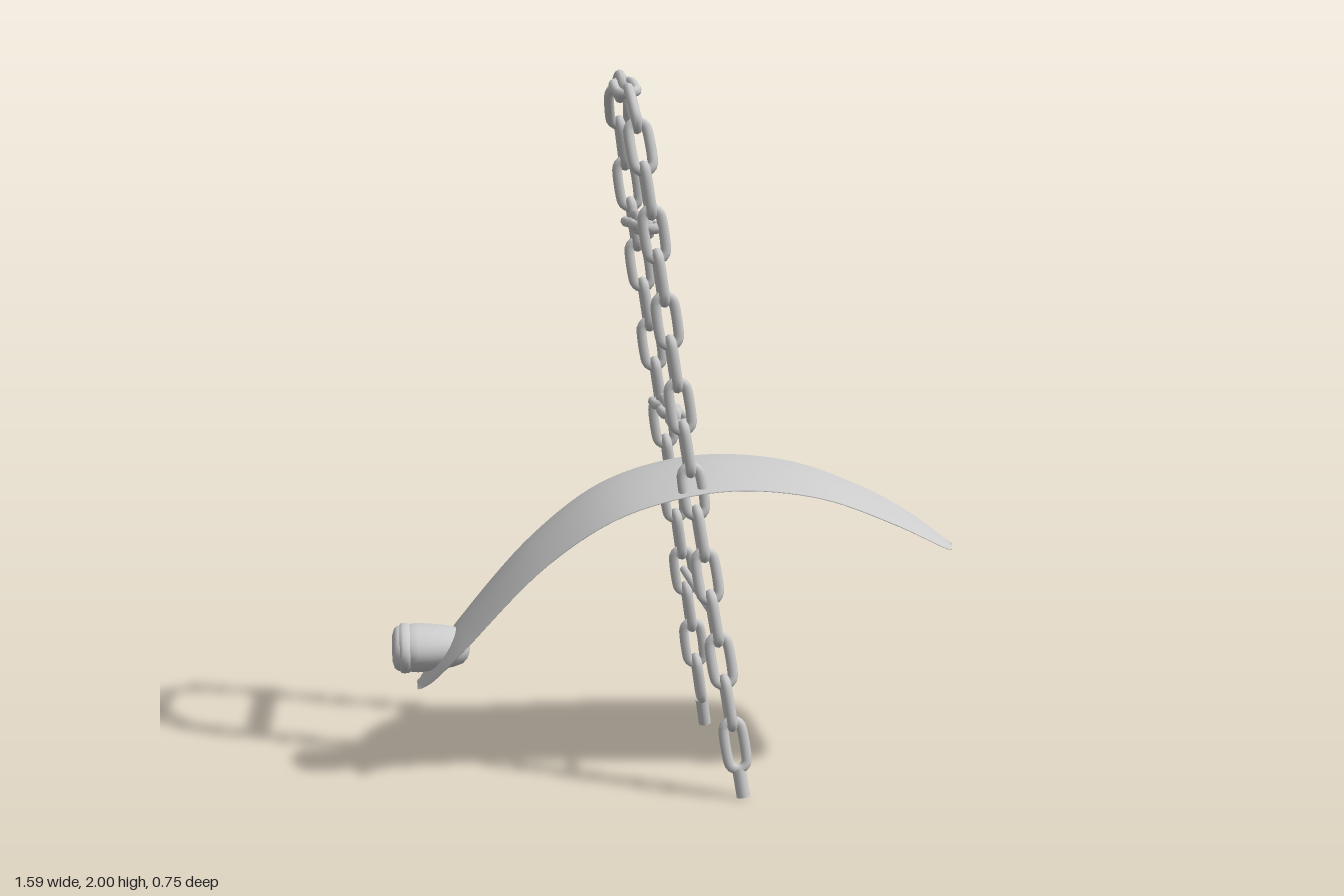
import * as THREE from 'three';

const V = (x, y, z) => new THREE.Vector3(x, y, z);
const metal = new THREE.MeshStandardMaterial({ color: 0xcccccc });
metal.name = 'light grey metal';

// The chain frame lies in a plane leaning back along x
const SLOPE = 0.15;
const lean = (z, y) => V(0.16 - SLOPE * y, y, z);
const planeNormal = V(1, SLOPE, 0).normalize();

function add(parent, name, geometry) {
  const mesh = new THREE.Mesh(geometry, metal);
  mesh.name = name;
  parent.add(mesh);
  return mesh;
}

function rod(parent, name, a, b, radius) {
  const mesh = add(parent, name, new THREE.CylinderGeometry(radius, radius, a.distanceTo(b), 16));
  mesh.position.copy(a).add(b).multiplyScalar(0.5);
  mesh.quaternion.setFromUnitVectors(V(0, 1, 0), b.clone().sub(a).normalize());
}

// One stadium-shaped link, long axis on local y, lying flat in local xy
function linkGeometry(length, width, wire) {
  const r = width / 2 - wire, s = length / 2 - wire - r, pts = [];
  for (let side = 0; side < 2; side++) {
    for (let i = 0; i <= 6; i++) {
      const a = Math.PI * (side + i / 6);
      pts.push(V(r * Math.cos(a), (side ? -s : s) + r * Math.sin(a), 0));
    }
  }
  return new THREE.TubeGeometry(new THREE.CatmullRomCurve3(pts, true), 36, wire, 8, true);
}

// Links alternate between lying in the frame plane and standing across it
function placeLink(parent, geometry, position, tangent, inPlane) {
  const mesh = add(parent, 'chainLink', geometry);
  const across = V(0, 0, 0).crossVectors(tangent, planeNormal).normalize();
  const basis = new THREE.Matrix4();
  if (inPlane) basis.makeBasis(across, tangent, planeNormal.clone().negate());
  else basis.makeBasis(planeNormal, tangent, across);
  if (basis.determinant() < 0) {
    basis.makeBasis(inPlane ? across : planeNormal, tangent,
      inPlane ? planeNormal : across.clone().negate());
  }
  mesh.quaternion.setFromRotationMatrix(basis);
  mesh.position.copy(position);
}

function buildChainFrame() {
  const group = new THREE.Group();
  group.name = 'chainFrame';

  // Hooped chain from one foot over the top to the other
  const path = new THREE.CatmullRomCurve3([
    [0.335, 0.155], [0.29, 0.51], [0.262, 0.74], [0.24, 0.965], [0.234, 1.21], [0.232, 1.46],
    [0.23, 1.69], [0.215, 1.81], [0.16, 1.9], [0.075, 1.95], [-0.035, 1.962], [-0.135, 1.93],
    [-0.2, 1.835], [-0.222, 1.7], [-0.222, 1.45], [-0.225, 1.21], [-0.235, 0.98],
    [-0.262, 0.75], [-0.292, 0.515], [-0.332, 0.16]
  ].map(([z, y]) => lean(z, y)));
  path.arcLengthDivisions = 600;
  const link = linkGeometry(0.165, 0.08, 0.0145);
  const count = 34;
  for (let i = 0; i < count; i++) {
    const u = i / (count - 1);
    placeLink(group, link, path.getPointAt(u), path.getTangentAt(u), i % 2 === 1);
  }

  // Two chain rungs
  const rungLink = linkGeometry(0.15, 0.07, 0.0145);
  for (const y of [1.575, 1.04]) {
    for (let i = 0; i < 5; i++) {
      placeLink(group, rungLink, lean(0.165 - 0.095 * i, y), V(0, 0, 1), i % 2 === 1);
    }
  }

  // Feet and lower crossbar
  for (const s of [1, -1]) rod(group, 'foot', lean(s * 0.35, 0.01), lean(s * 0.34, 0.09), 0.019);
  rod(group, 'crossbar', lean(0.285, 0.515), lean(-0.285, 0.515), 0.012);
  return group;
}

// Arched, slightly crowned fender: elliptical cross-sections swept along an arc
function fenderGeometry() {
  // x, y of the centreline and half width
  const curve = new THREE.CatmullRomCurve3([
    [-0.73, 0.265, 0.05], [-0.7, 0.312, 0.11], [-0.655, 0.378, 0.155], [-0.6, 0.45, 0.178],
    [-0.4, 0.67, 0.22], [-0.2, 0.815, 0.262], [0, 0.882, 0.283], [0.18, 0.898, 0.29],
    [0.4, 0.868, 0.305], [0.6, 0.79, 0.32], [0.68, 0.747, 0.32], [0.74, 0.708, 0.295],
    [0.775, 0.682, 0.25], [0.79, 0.67, 0.17]
  ].map((p) => V(...p)));
  const rows = 90, cols = 48, pos = [], index = [];
  for (let i = 0; i <= rows; i++) {
    const u = i / rows, p = curve.getPoint(u), t = curve.getTangent(u);
    const len = Math.hypot(t.x, t.y), nx = -t.y / len, ny = t.x / len;
    const taper = Math.max(0, Math.sin(Math.PI * u));
    const half = 0.012 * Math.sqrt(taper), crown = 0.026 * Math.pow(taper, 0.7);
    for (let j = 0; j < cols; j++) {
      const a = (j / cols) * Math.PI * 2, c = Math.cos(a);
      const off = half * (Math.sin(a) - 1) - crown * c * c;
      pos.push(p.x + nx * off, p.y + ny * off, p.z * c);
      if (i < rows) {
        const k = (j + 1) % cols, r0 = i * cols, r1 = r0 + cols;
        index.push(r0 + j, r1 + j, r1 + k, r0 + j, r1 + k, r0 + k);
      }
    }
  }
  const g = new THREE.BufferGeometry();
  g.setAttribute('position', new THREE.Float32BufferAttribute(pos, 3));
  g.setIndex(index);
  g.computeVertexNormals();
  return g;
}

// Flattened round lamp running through the low end of the fender
function buildLamp() {
  const group = new THREE.Group();
  group.name = 'tailLamp';
  const lathe = (name, pts) => add(group, name,
    new THREE.LatheGeometry(pts.map(([r, y]) => new THREE.Vector2(r, y)), 40));
  lathe('lampLens', [[0, -0.8], [0.05, -0.799], [0.078, -0.793], [0.088, -0.784], [0.09, -0.77]]);
  lathe('lampRim', [[0.088, -0.778], [0.096, -0.776], [0.099, -0.768], [0.099, -0.758],
    [0.096, -0.75], [0.09, -0.748]]);
  lathe('lampBody', [[0.09, -0.755], [0.096, -0.742], [0.097, -0.725], [0.093, -0.69],
    [0.087, -0.655], [0.08, -0.625], [0.068, -0.6], [0.048, -0.586], [0.024, -0.58], [0, -0.578]]);
  group.rotation.z = -Math.PI / 2; // lathe axis onto x
  group.scale.set(0.7, 1, 1);
  group.position.y = 0.375;
  return group;
}

export function createModel() {
  const model = new THREE.Group();
  model.name = 'fenderWithChainBackrest';
  model.add(buildChainFrame());
  add(model, 'fender', fenderGeometry());
  model.add(buildLamp());
  return model;
}
